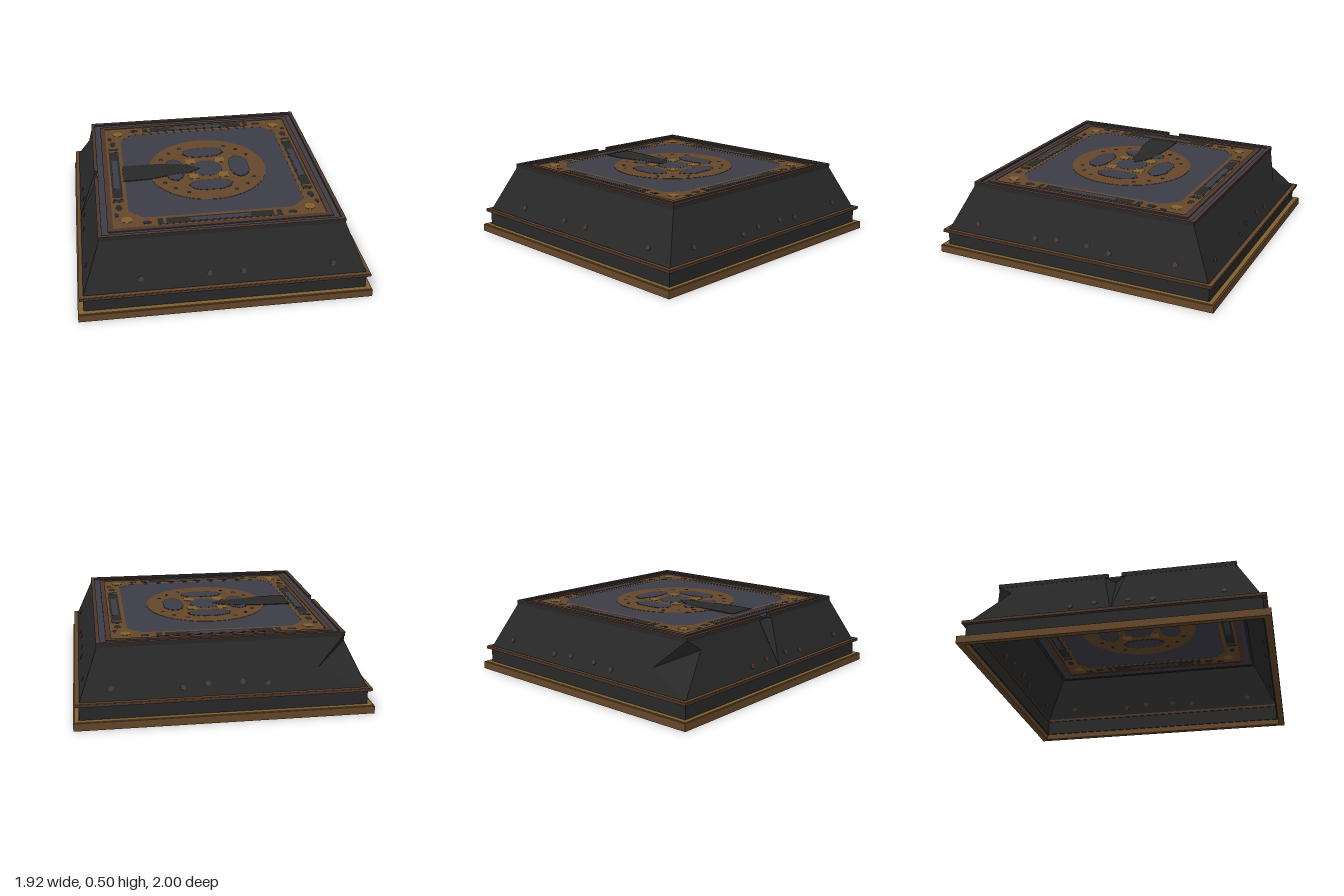
import * as THREE from 'three';

const mat = (name, color) => {
  const m = new THREE.MeshStandardMaterial({ color, side: THREE.DoubleSide, flatShading: true });
  m.name = name;
  return m;
};

export function createModel() {
  const black = mat('black iron', 0x272827);
  const slate = mat('slate blue', 0x3c3c48);
  const bronze = mat('bronze', 0x65472a);
  const gold = mat('pale gold', 0x80612f);
  const brown = mat('dark brown', 0x4b362d);
  const model = new THREE.Group();

  const add = (name, geo, material, parent = model) => {
    const mesh = new THREE.Mesh(geo, material);
    mesh.name = name;
    parent.add(mesh);
    return mesh;
  };
  const poly = (pts) => new THREE.Shape(pts.map(([x, y]) => new THREE.Vector2(x, y)));
  const rect = (hx, hz, cx = 0, cz = 0) =>
    poly([[cx - hx, cz - hz], [cx + hx, cz - hz], [cx + hx, cz + hz], [cx - hx, cz + hz]]);
  const ellipse = (cx, cz, rx, rz) => {
    const s = new THREE.Shape();
    s.absellipse(cx, cz, rx, rz, 0, Math.PI * 2);
    return s;
  };
  // horizontal slab of one or more shapes between two heights
  const slab = (name, shapes, y0, y1, material) => {
    const g = new THREE.ExtrudeGeometry(shapes, { depth: y1 - y0, bevelEnabled: false, curveSegments: 24 });
    g.rotateX(-Math.PI / 2).translate(0, y0, 0);
    return add(name, g, material);
  };
  // rectangular frame
  const ring = (name, ox, oz, ix, iz, y0, y1, material) => {
    const s = rect(ox, oz);
    s.holes.push(rect(ix, iz));
    return slab(name, s, y0, y1, material);
  };

  // Hollow base, lower wall and ledge
  ring('baseBand', 0.96, 1.0, 0.92, 0.955, 0, 0.05, bronze);
  ring('baseTrim', 0.952, 0.99, 0.925, 0.96, 0.05, 0.054, gold);
  ring('lowerWall', 0.922, 0.955, 0.912, 0.945, 0.04, 0.15, black);
  ring('ledge', 0.945, 0.98, 0.905, 0.94, 0.147, 0.165, brown);
  ring('ledgeTrim', 0.943, 0.978, 0.92, 0.955, 0.165, 0.168, bronze);

  // Sloping walls, each a fan of triangles round its first corner
  const fan = (name, pts) => {
    const v = [];
    for (let i = 1; i < pts.length - 1; i++) v.push(...pts[0], ...pts[i], ...pts[i + 1]);
    const g = new THREE.BufferGeometry();
    g.setAttribute('position', new THREE.Float32BufferAttribute(v, 3));
    g.computeVertexNormals();
    add(name, g, black);
  };
  const [bx, bz, tx, tz, yb, yt] = [0.92, 0.95, 0.795, 0.795, 0.16, 0.475];
  const low = (sx, sz) => [sx * bx, yb, sz * bz];
  const top = (sx, sz) => [sx * tx, yt, sz * tz];
  // points of the dented back corner and the creased side
  const dentA = [-0.6, 0.29, -0.886], dentB = [-0.68, 0.45, -0.807], dentC = [-0.825, 0.405, -0.7];
  const fold = [-0.75, 0.45, 0], foldLow = [-bx, yb, 0];
  fan('frontSlope', [low(-1, 1), low(1, 1), top(1, 1), top(-1, 1)]);
  fan('leftSlope', [low(1, 1), low(1, -1), top(1, -1), top(1, 1)]);
  fan('backSlope', [dentA, dentB, top(-1, -1), top(1, -1), low(1, -1), low(-1, -1)]);
  fan('rightSlopeRear', [dentC, low(-1, -1), foldLow, [-tx, yt, -0.07], top(-1, -1)]);
  fan('rightSlopeFront', [foldLow, low(-1, 1), top(-1, 1), [-tx, yt, 0.07]]);
  fan('creaseRear', [foldLow, fold, [-tx, yt, -0.07]]);
  fan('creaseFront', [foldLow, [-tx, yt, 0.07], fold]);
  fan('dentLower', [low(-1, -1), dentC, dentA]);
  fan('dentUpper', [dentA, dentC, top(-1, -1), dentB]);

  // Top rim, with a gap on the creased side
  const bar = (name, w, d, x, z) => {
    const g = new THREE.BoxGeometry(w, 0.025, d).translate(x, 0.479, z);
    add(name, g, black);
    add(name + 'Cap', new THREE.BoxGeometry(w, 0.004, d).translate(x, 0.4935, z), brown);
  };
  for (const s of [-1, 1]) {
    bar('rimEnd', 1.6, 0.026, 0, s * 0.787);
    bar('rimBrokenSide', 0.026, 0.73, -0.787, s * 0.411);
  }
  bar('rimSide', 0.026, 1.55, 0.787, 0);

  // Channel and inner frame
  ring('channel', 0.775, 0.775, 0.73, 0.73, 0.470, 0.482, slate);
  ring('innerFrame', 0.735, 0.735, 0.70, 0.70, 0.468, 0.489, brown);

  // Panel: bronze border around a field with cut corners
  const a = 0.59, b = 0.5;
  const octagon = () =>
    poly([[a, -b], [a, b], [b, a], [-b, a], [-a, b], [-a, -b], [-b, -a], [b, -a]]);
  const border = rect(0.7, 0.7);
  border.holes.push(octagon());
  slab('panelBorder', border, 0.472, 0.485, bronze);
  slab('panelField', octagon(), 0.473, 0.484, slate);

  // Border inlays, showing on both faces of the panel
  const slots = [], bars = [], blobs = [], studs = [], ties = [];
  for (const s of [-1, 1]) {
    slots.push(rect(0.41, 0.035, 0, s * 0.65), rect(0.035, 0.38, s * 0.65, 0));
    bars.push(rect(0.2, 0.02, 0, s * 0.65), rect(0.02, 0.2, s * 0.65, 0));
    for (const t of [-1, 1]) {
      blobs.push(ellipse(t * 0.48, s * 0.65, 0.03, 0.018), ellipse(s * 0.65, t * 0.45, 0.022, 0.035));
      blobs.push(ellipse(s * 0.67, t * 0.54, 0.014, 0.025));
      studs.push(ellipse(t * 0.605, s * 0.605, 0.036, 0.036));
      ties.push(rect(0.01, 0.034, t * 0.365, s * 0.65), rect(0.034, 0.01, s * 0.65, t * 0.335));
    }
  }
  slab('borderSlots', slots, 0.471, 0.486, black);
  slab('slotBars', bars, 0.470, 0.487, slate);
  slab('slotTies', ties, 0.470, 0.487, bronze);
  slab('borderBlots', blobs, 0.471, 0.486, black);
  slab('cornerStuds', studs, 0.471, 0.487, gold);

  // Round medallion with four petals and a hub
  slab('medallion', ellipse(0, 0, 0.42, 0.425), 0.471, 0.486, bronze);
  const petal = (angle, grow) => {
    const pts = [[-0.15, 0.22], [-0.13, 0.27], [-0.07, 0.3], [0.07, 0.3], [0.13, 0.27],
      [0.15, 0.22], [0.11, 0.18], [0.05, 0.165], [-0.05, 0.165], [-0.11, 0.18]];
    const c = Math.cos(angle), s = Math.sin(angle);
    return poly(pts.map(([x, y]) => {
      const px = x * grow, py = 0.235 + (y - 0.235) * grow;
      return [px * c - py * s, px * s + py * c];
    }));
  };
  const quarter = [0, 1, 2, 3].map((i) => i * Math.PI / 2);
  slab('petalEdges', quarter.map((q) => petal(q, 1.04)), 0.470, 0.487, black);
  slab('petals', quarter.map((q) => petal(q, 0.97)), 0.469, 0.488, slate);
  slab('hub', ellipse(0, 0, 0.11, 0.11), 0.470, 0.487, slate);
  const tabs = quarter.map((q) => {
    const r = q + Math.PI / 4;
    return rect(0.034, 0.034, 0.15 * Math.cos(r), 0.15 * Math.sin(r));
  });
  slab('hubTabs', tabs, 0.469, 0.488, gold);
  const marks = [];
  for (const q of quarter) for (const d of [-0.3, 0, 0.3]) {
    const r = q + Math.PI / 4 + d;
    marks.push(ellipse(0.355 * Math.cos(r), 0.355 * Math.sin(r), 0.014, 0.014));
  }
  slab('medallionMarks', marks, 0.470, 0.487, black);

  // Dark scorched strip running to the creased side
  const strip = poly([[-0.6, -0.11], [-0.5, -0.11], [-0.38, -0.1], [-0.25, -0.065], [-0.12, -0.05],
    [-0.05, 0], [-0.12, 0.055], [-0.2, 0.08], [-0.36, 0.1], [-0.6, 0.1]]);
  slab('scorchStrip', strip, 0.468, 0.489, black);

  // Rivets on the sloping walls
  const sides = [
    ['front', 0, bz, tz, [-0.55, -0.11, 0.11, 0.7]],
    ['left', Math.PI / 2, bx, tx, [-0.72, -0.27, -0.11, 0.11, 0.27, 0.72]],
    ['back', Math.PI, bz, tz, [-0.72, -0.27, -0.11, 0.11, 0.27]],
    ['right', -Math.PI / 2, bx, tx, [-0.27, -0.11, 0.11, 0.27, 0.72]],
  ];
  for (const [name, turn, d0, d1, list] of sides) {
    const group = new THREE.Group();
    group.name = name + 'Rivets';
    group.rotation.y = turn;
    const tilt = Math.atan((d0 - d1) / (yt - yb));
    for (const x of list) {
      const y = Math.abs(x) === 0.27 ? 0.22 : 0.235;
      const rivet = add('rivet', new THREE.CylinderGeometry(0.018, 0.018, 0.008, 6), brown, group);
      rivet.position.set(x, y, d0 + (d1 - d0) * (y - yb) / (yt - yb));
      rivet.rotation.x = Math.PI / 2 - tilt;
    }
    model.add(group);
  }
  return model;
}
